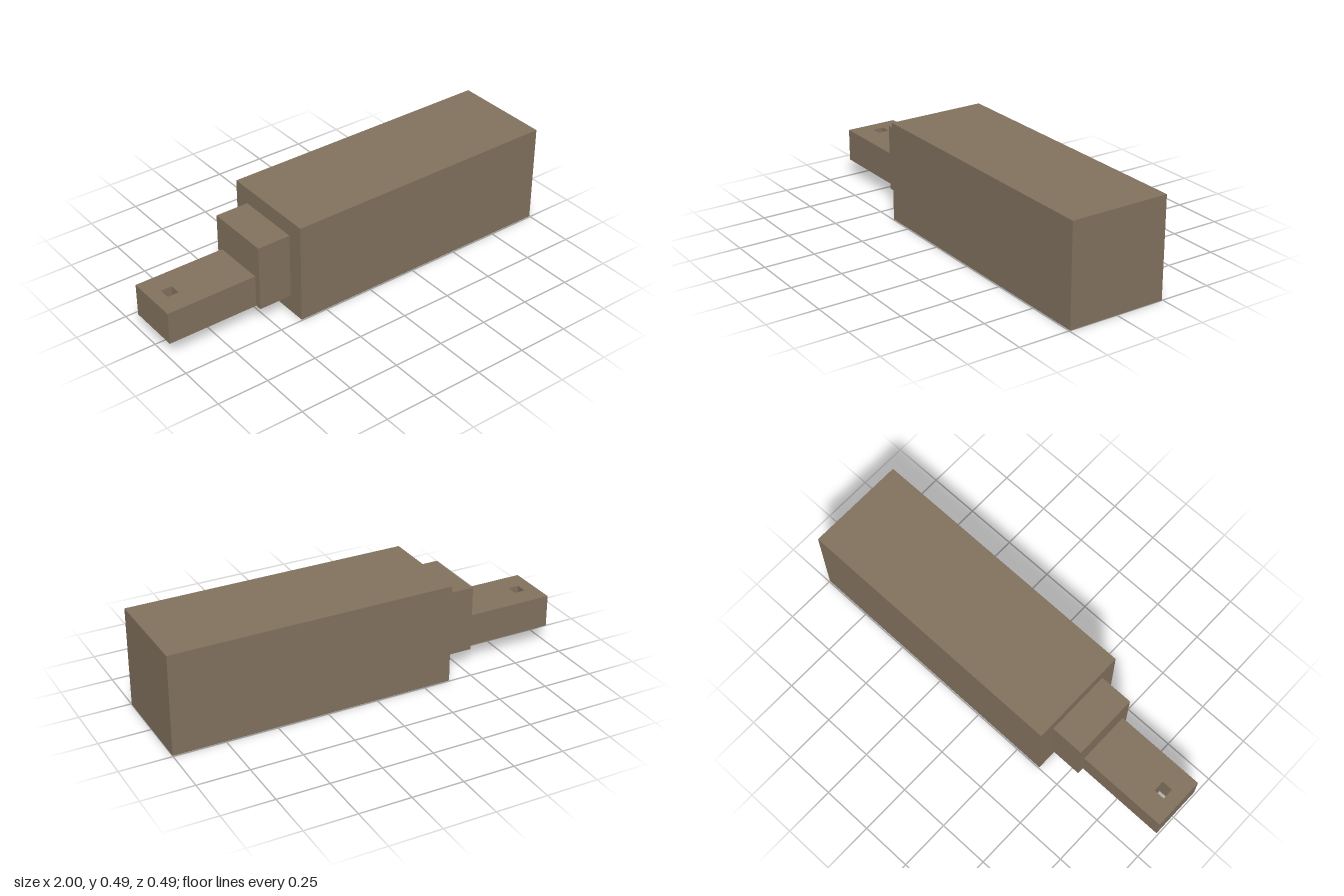
import * as THREE from 'three';

const brown = new THREE.MeshStandardMaterial({ color: 0x82725e });
brown.name = 'brown';

// Box given by its x range, y range and half depth
function block(name, x0, x1, y0, y1, halfZ) {
  const geometry = new THREE.BoxGeometry(x1 - x0, y1 - y0, halfZ * 2);
  geometry.translate((x0 + x1) / 2, (y0 + y1) / 2, 0);
  const mesh = new THREE.Mesh(geometry, brown);
  mesh.name = name;
  return mesh;
}

// Corners of a rectangle centred on z = 0
function rectangle(x0, x1, halfZ) {
  return [[x0, -halfZ], [x1, -halfZ], [x1, halfZ], [x0, halfZ]].map(([x, z]) => new THREE.Vector2(x, z));
}

export function createModel() {
  const model = new THREE.Group();
  model.name = 'steppedBlock';

  // Main body and the collar at its end
  model.add(block('body', -0.385, 1, 0, 0.49, 0.245));
  model.add(block('collar', -0.55, -0.385, 0.085, 0.41, 0.163));

  // Flat tongue with a square hole right through it
  const outline = new THREE.Shape(rectangle(-1, -0.55, 0.131));
  outline.holes.push(new THREE.Path(rectangle(-0.935, -0.88, 0.028).reverse()));
  const geometry = new THREE.ExtrudeGeometry(outline, { depth: 0.16, bevelEnabled: false });
  geometry.rotateX(-Math.PI / 2).translate(0, 0.085, 0);
  const tongue = new THREE.Mesh(geometry, brown);
  tongue.name = 'tongue';
  model.add(tongue);

  return model;
}
